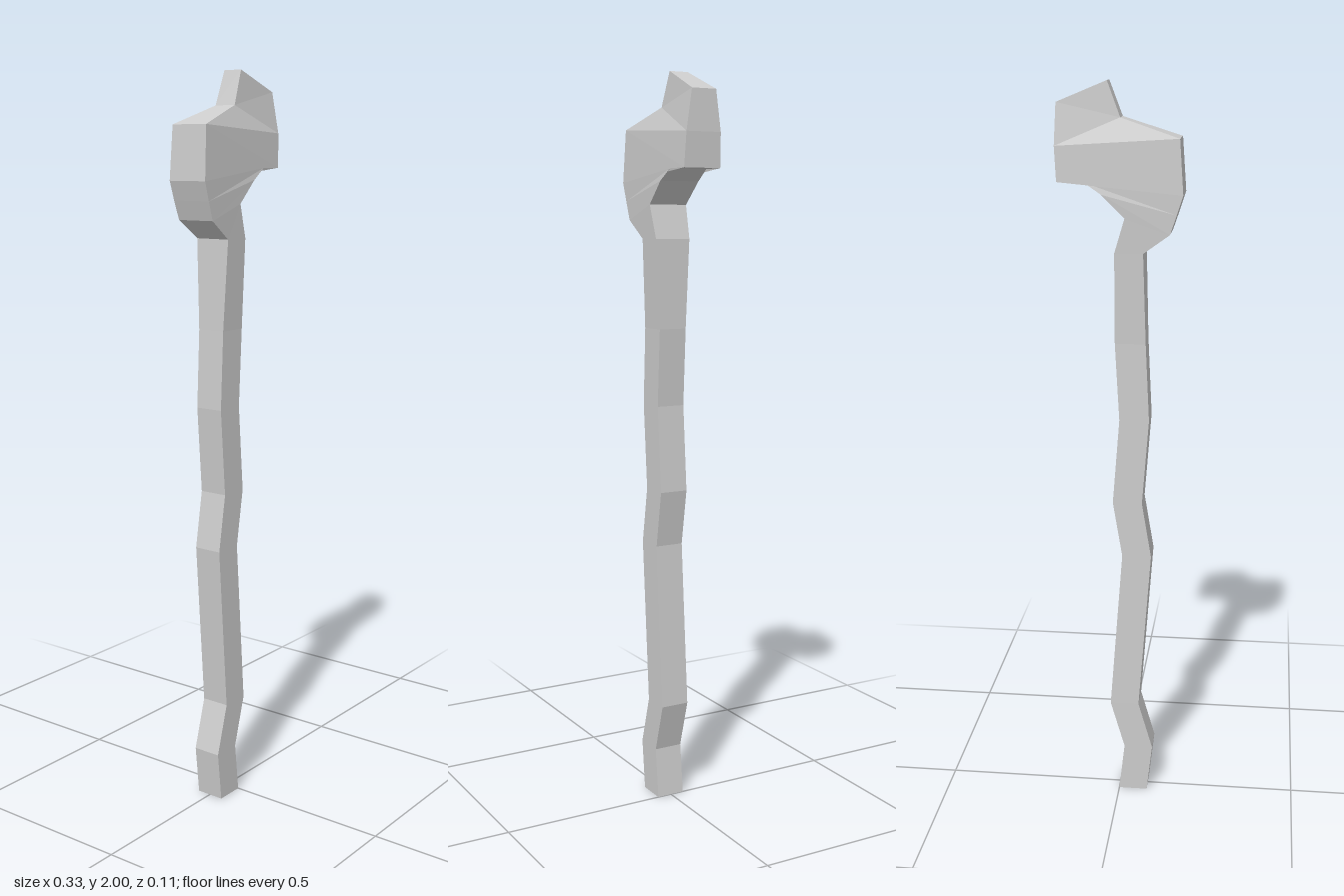
import * as THREE from 'three';

// Each section: left edge [x, y, zFront, zBack], right edge [x, y, zFront, zBack]
const level = (y, xl, xr, f = 0.041, b = -0.039) => [[xl, y, f, b], [xr, y, f, b]];

const neck = level(1.57, -0.063, 0.012, 0.052, -0.05);

const shaftSections = [
  level(0, -0.08, 0),
  level(0.138, -0.095, -0.015),
  level(0.275, -0.055, 0.025),
  level(0.73, -0.088, -0.008),
  level(0.885, -0.062, 0.018),
  level(1.12, -0.08, 0),
  level(1.33, -0.07, 0.012),
  neck,
];

const headSections = [
  neck,
  [[-0.132, 1.62, 0.055, -0.055], [-0.015, 1.66, 0.056, -0.055]],
  [[-0.149, 1.67, 0.056, -0.057], [0.045, 1.72, 0.057, -0.058]],
  [[-0.165, 1.72, 0.057, -0.058], [0.09, 1.75, 0.054, -0.055]],
  [[-0.155, 1.86, 0.053, -0.055], [0.16, 1.75, 0.052, -0.055]],
  [[-0.002, 1.91, 0.027, -0.035], [0.165, 1.84, 0.048, -0.053]],
  [[0.032, 2.0, 0.022, -0.032], [0.161, 1.947, 0.03, -0.041]],
];

// Lofts four-cornered sections into a faceted strip with optional caps
function loft(name, sections, capBottom, capTop, material) {
  const rings = sections.map(([l, r]) => [
    [l[0], l[1], l[2]], [r[0], r[1], r[2]], [r[0], r[1], r[3]], [l[0], l[1], l[3]],
  ]);
  const pos = [];
  const quad = (a, b, c, d) => pos.push(...a, ...b, ...c, ...a, ...c, ...d);
  for (let i = 0; i < rings.length - 1; i++) {
    const lo = rings[i], hi = rings[i + 1];
    for (let j = 0; j < 4; j++) {
      const k = (j + 1) % 4;
      // mirror the diagonal on the back so both faces match
      if (j === 2) quad(lo[k], hi[k], hi[j], lo[j]);
      else quad(lo[j], lo[k], hi[k], hi[j]);
    }
  }
  if (capBottom) quad(...[0, 3, 2, 1].map((j) => rings[0][j]));
  if (capTop) quad(...rings[rings.length - 1]);
  // the back strip shares corner order with the front, so wind it outward
  const geometry = new THREE.BufferGeometry();
  geometry.setAttribute('position', new THREE.Float32BufferAttribute(pos, 3));
  geometry.computeVertexNormals();
  const mesh = new THREE.Mesh(geometry, material);
  mesh.name = name;
  return mesh;
}

export function createModel() {
  const group = new THREE.Group();
  group.name = 'walkingStick';
  const wood = new THREE.MeshStandardMaterial({
    color: 0xcccccc, flatShading: true, side: THREE.DoubleSide,
  });
  // crooked square shaft
  group.add(loft('shaft', shaftSections, true, false, wood));
  // knotted, hooked handle
  group.add(loft('handle', headSections, false, true, wood));
  return group;
}
